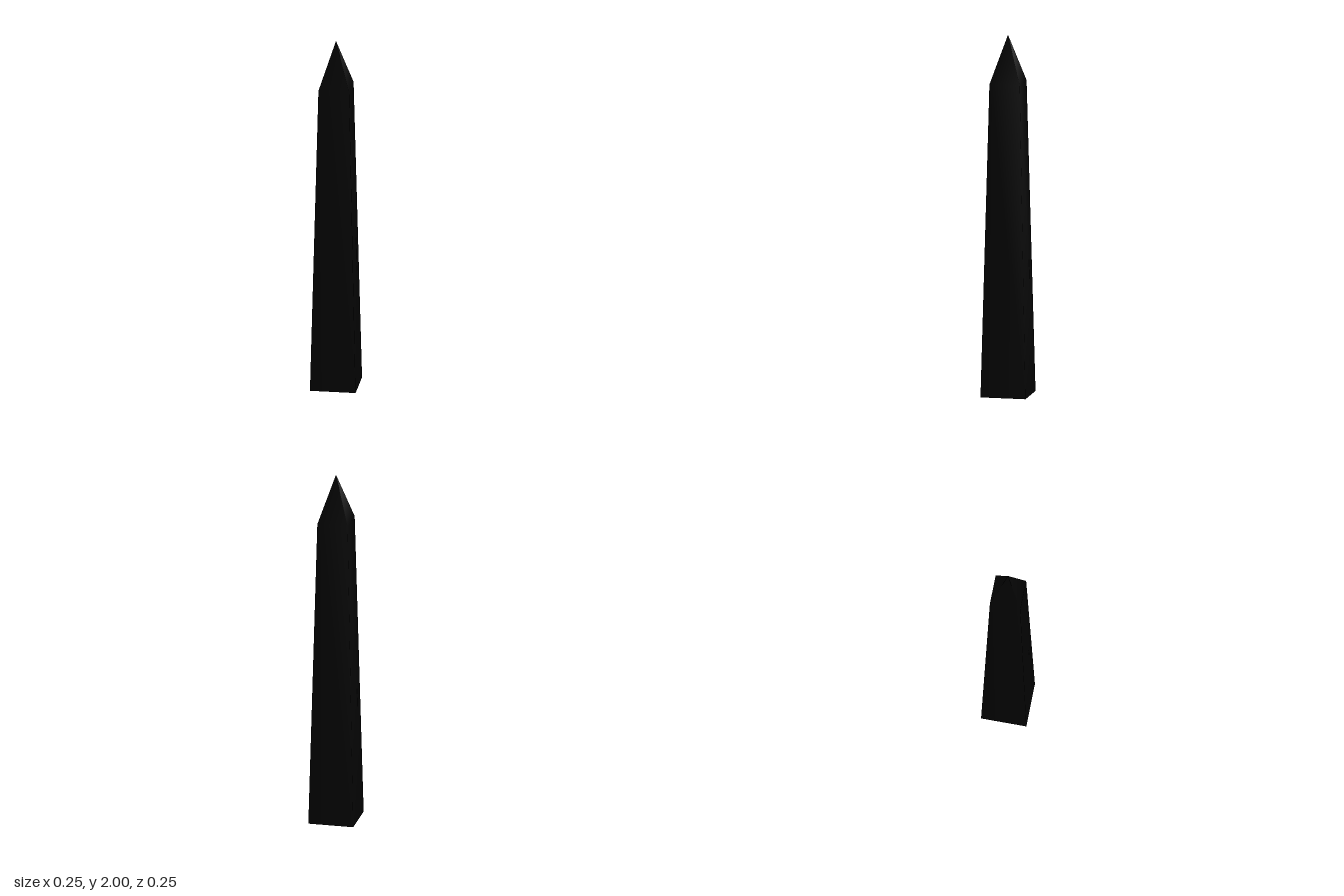
import * as THREE from 'three';

const BASE = 0.126;      // half width at the ground
const SHOULDER = 0.085;  // half width below the point
const SHOULDER_Y = 1.735;
const HEIGHT = 2;

export function createModel() {
  const group = new THREE.Group();
  group.name = 'obelisk';

  // Corner profile: closed base, tapering shaft, pyramid point
  const profile = [
    [0, 0],
    [BASE * Math.SQRT2, 0],
    [SHOULDER * Math.SQRT2, SHOULDER_Y],
    [0, HEIGHT],
  ].map(([r, y]) => new THREE.Vector2(r, y));

  // Four sides, turned so the flat faces look along x and z
  const pillar = new THREE.Mesh(
    new THREE.LatheGeometry(profile, 4, Math.PI / 4),
    new THREE.MeshStandardMaterial({ color: 0x030303 })
  );
  pillar.name = 'pillar';
  group.add(pillar);

  return group;
}
